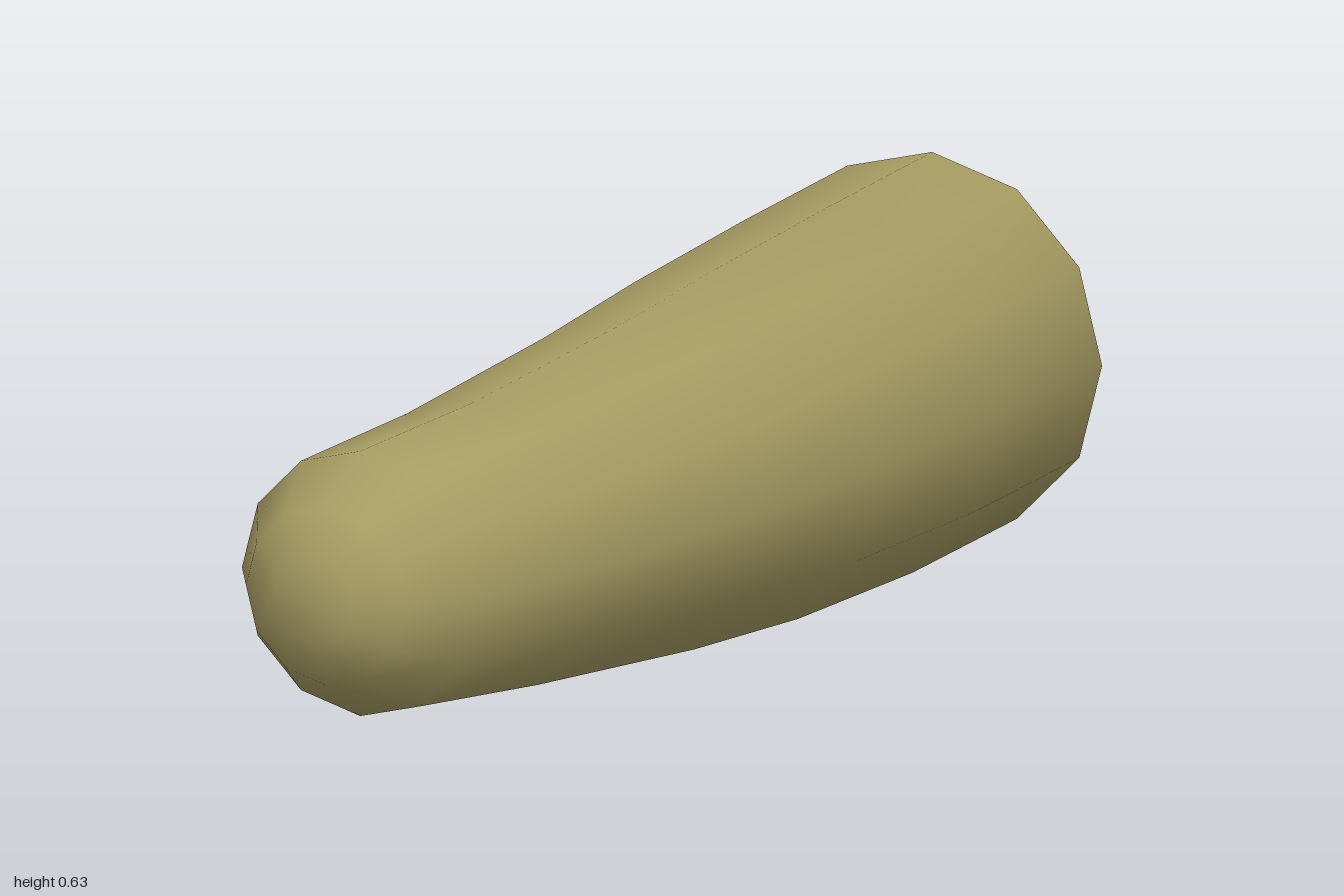
import * as THREE from 'three';
import { mergeVertices } from 'three/addons/utils/BufferGeometryUtils.js';

const SIDES = 12, CENTRE_Y = 0.316, CUT_RADIUS = 0.316, CUT_X = -0.025;

// Rings along the root: z, radius, sideways offset of the centre
const RINGS = [
  [-1, 0.316, -0.025], [-0.6, 0.315, 0.011], [-0.2, 0.302, 0.034], [0.13, 0.279, 0.042],
  [0.57, 0.243, 0.022], [0.86, 0.22, -0.02], [0.96, 0.148, -0.027], [1, 0.073, -0.028], [1, 0, -0.028],
];

// Corners of the channels in the cut, in units of the cut radius
const CHANNELS = [
  [[0.27, 0.59], [0.54, 0.35], [0.42, 0.12], [0.17, 0.29]],
  [[-0.06, 0.6], [-0.33, 0.55], [-0.22, 0.36], [-0.08, 0.4]],
  [[-0.58, 0.33], [-0.56, 0.05], [-0.4, -0.05], [-0.29, 0.14]],
  [[-0.43, -0.14], [-0.58, -0.34], [-0.34, -0.57], [-0.24, -0.33]],
  [[0.24, -0.43], [0.13, -0.32], [-0.01, -0.35], [0.12, -0.59]],
  [[0.65, -0.02], [0.35, 0.05], [0.43, -0.21], [0.72, -0.45]],
  [[0.04, 0], [0.01, 0.045], [-0.035, 0.01], [0, -0.045]],
];

// Tapered, gently bent skin with a rounded nose
function skinGeometry() {
  const profile = RINGS.map(([z, r]) => new THREE.Vector2(r, z));
  let geo = new THREE.LatheGeometry(profile, SIDES).rotateX(Math.PI / 2);
  const pos = geo.attributes.position;
  for (let i = 0; i < pos.count; i++) pos.setX(i, pos.getX(i) + RINGS[i % RINGS.length][2]);
  geo.deleteAttribute('uv');
  geo.deleteAttribute('normal');
  geo = mergeVertices(geo, 1e-4);
  geo.computeVertexNormals();
  return geo;
}

// Cut face with channels running into the flesh
function cutGeometry(depth) {
  const toPoints = (list) => list.map(([x, y]) => new THREE.Vector2(x * CUT_RADIUS, y * CUT_RADIUS));
  const rim = [];
  for (let i = 0; i < SIDES; i++) {
    const a = (i / SIDES) * Math.PI * 2;
    rim.push([Math.cos(a), Math.sin(a)]);
  }
  const shape = new THREE.Shape(toPoints(rim));
  shape.holes = CHANNELS.map((c) => new THREE.Path(toPoints(c)));
  const geo = new THREE.ExtrudeGeometry(shape, { depth, bevelEnabled: false });
  // Narrow the inner end so it stays inside the skin
  const pos = geo.attributes.position;
  for (let i = 0; i < pos.count; i++) {
    if (pos.getZ(i) > depth / 2) pos.setXY(i, pos.getX(i) * 0.88, pos.getY(i) * 0.88);
  }
  geo.computeVertexNormals();
  return geo;
}

export function createModel() {
  const root = new THREE.Group();
  root.name = 'cutRoot';
  const skinMaterial = new THREE.MeshStandardMaterial({ color: 0xa69c62 });
  skinMaterial.name = 'oliveSkin';
  const fleshMaterial = new THREE.MeshStandardMaterial({ color: 0xc6c0a2 });
  fleshMaterial.name = 'paleFlesh';

  const add = (name, geo, material, x, z) => {
    const mesh = new THREE.Mesh(geo, material);
    mesh.name = name;
    mesh.position.set(x, CENTRE_Y, z);
    root.add(mesh);
    return mesh;
  };

  const depth = 0.3;
  add('skin', skinGeometry(), skinMaterial, 0, 0);
  add('cutFace', cutGeometry(depth), fleshMaterial, CUT_X, -1);
  // Floor closing the channels
  add('channelFloor', new THREE.CircleGeometry(CUT_RADIUS * 0.85, SIDES).rotateY(Math.PI),
    fleshMaterial, CUT_X, -1 + depth);
  return root;
}
